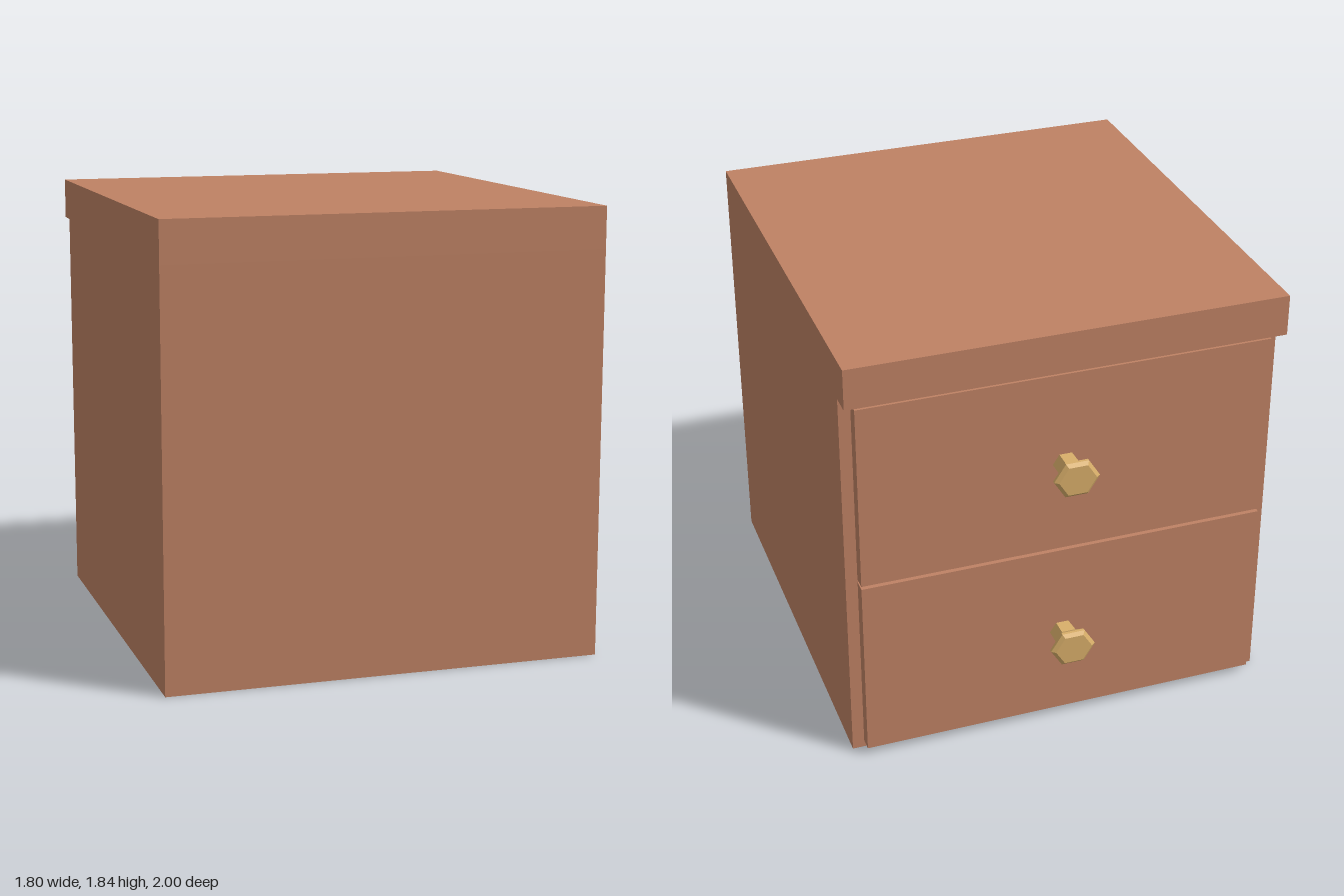
import * as THREE from 'three';

const wood = new THREE.MeshStandardMaterial({ color: 0xbf8264 });
wood.name = 'wood';
const brass = new THREE.MeshStandardMaterial({ color: 0xd8ae6a, flatShading: true });
brass.name = 'brass';

// Box given by its half width and its y and z limits
function slab(name, halfWidth, y0, y1, z0, z1) {
  const mesh = new THREE.Mesh(new THREE.BoxGeometry(halfWidth * 2, y1 - y0, z1 - z0), wood);
  mesh.name = name;
  mesh.position.set(0, (y0 + y1) / 2, (z0 + z1) / 2);
  return mesh;
}

// Six-sided flared knob pointing to -z
function makeKnob(y) {
  const profile = [[0, 0.84], [0.053, 0.84], [0.053, 0.927], [0.095, 0.975], [0.095, 0.987], [0.078, 1], [0, 1]]
    .map(([r, d]) => new THREE.Vector2(r, d));
  const geometry = new THREE.LatheGeometry(profile, 6, Math.PI / 2);
  geometry.rotateX(-Math.PI / 2);
  geometry.scale(1, 0.91, 1);
  const mesh = new THREE.Mesh(geometry, brass);
  mesh.name = 'knob';
  mesh.position.set(0.008, y, 0);
  return mesh;
}

export function createModel() {
  const model = new THREE.Group();
  model.name = 'nightstand';

  // Carcass and overhanging top
  model.add(slab('cabinetBody', 0.9, 0, 1.665, -0.802, 1));
  model.add(slab('tabletop', 0.9, 1.665, 1.835, -0.895, 1));

  // Two drawers, each a front panel, a box behind it and a knob
  [[0.035, 0.828, 0.43], [0.842, 1.638, 1.24]].forEach(([y0, y1, knobY], i) => {
    const drawer = new THREE.Group();
    drawer.name = i ? 'upperDrawer' : 'lowerDrawer';
    drawer.add(slab('drawerFront', 0.852, y0, y1, -0.861, -0.806));
    drawer.add(slab('drawerBox', 0.8, y0 + 0.055, y1 - 0.055, -0.81, -0.79));
    drawer.add(makeKnob(knobY));
    model.add(drawer);
  });
  return model;
}
